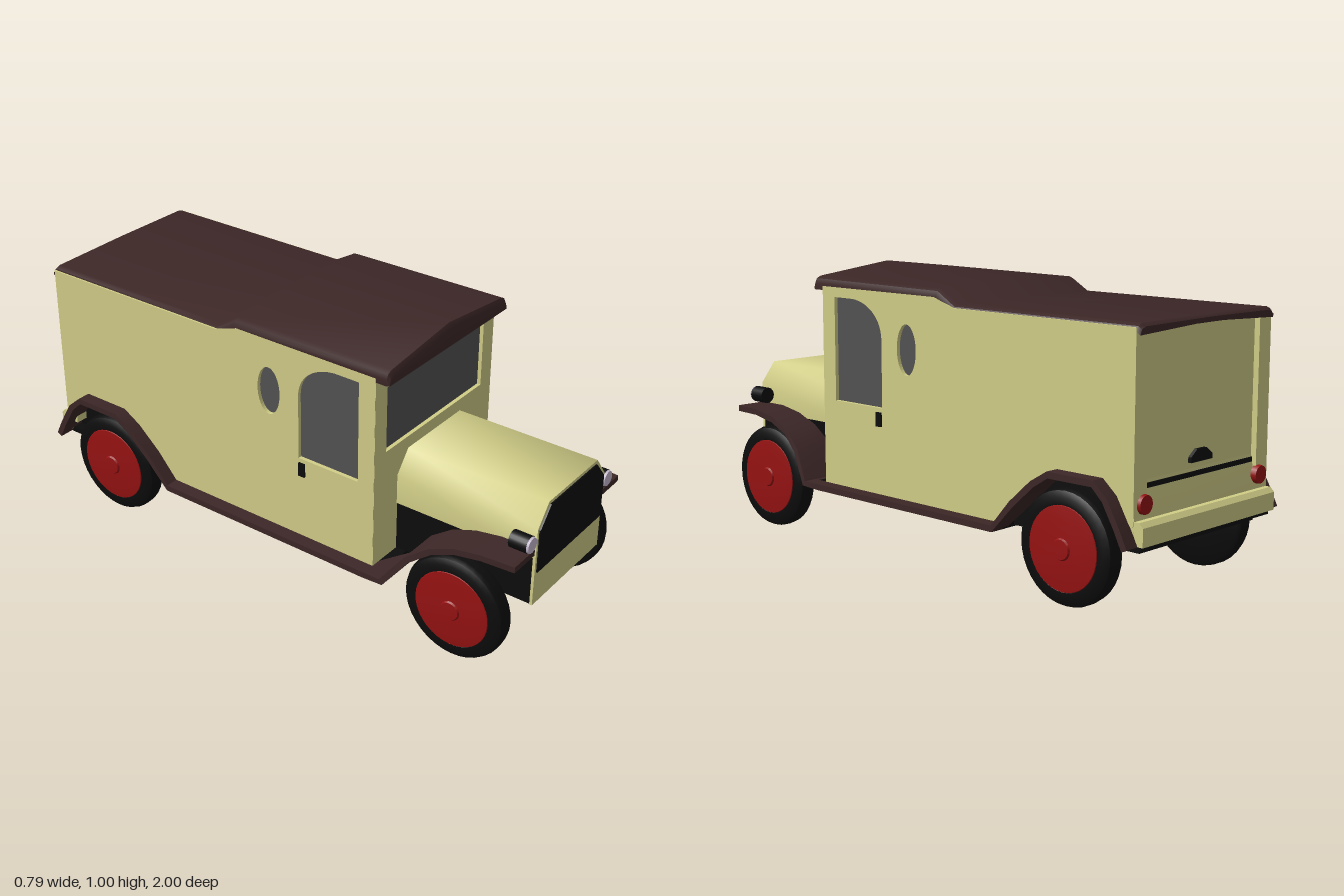
import * as THREE from 'three';
import { toCreasedNormals } from 'three/addons/utils/BufferGeometryUtils.js';

const mat = (name, color) => Object.assign(new THREE.MeshStandardMaterial({ color }), { name });

// Closed solid through equal-length rings of [x, y, z] points, wound outwards.
function loft(rings, crease = 0.6) {
  const n = rings[0].length, tris = [];
  const mid = r => [0, 1, 2].map(k => r.reduce((s, p) => s + p[k], 0) / n);
  for (let i = 0; i < rings.length - 1; i++) {
    for (let j = 0; j < n; j++) {
      const k = (j + 1) % n, a = rings[i], b = rings[i + 1];
      tris.push([a[j], a[k], b[k]], [a[j], b[k], b[j]]);
    }
  }
  const first = rings[0], last = rings[rings.length - 1];
  for (let j = 0; j < n; j++) {
    const k = (j + 1) % n;
    tris.push([first[k], first[j], mid(first)], [last[j], last[k], mid(last)]);
  }
  const volume = tris.reduce((s, [a, b, c]) => s
    + a[0] * (b[1] * c[2] - b[2] * c[1])
    + a[1] * (b[2] * c[0] - b[0] * c[2])
    + a[2] * (b[0] * c[1] - b[1] * c[0]), 0);
  if (volume < 0) tris.forEach(t => t.reverse());
  const g = new THREE.BufferGeometry();
  g.setAttribute('position', new THREE.Float32BufferAttribute(tris.flat(2), 3));
  return toCreasedNormals(g, crease);
}

const polygon = pts => new THREE.Shape(pts.map(p => new THREE.Vector2(...p)));
const extrude = (shape, depth) =>
  new THREE.ExtrudeGeometry(shape, { depth, bevelEnabled: false, curveSegments: 20 });

export function createModel() {
  const group = new THREE.Group();
  const cream = mat('cream paint', 0xd2ce88);
  const maroon = mat('maroon paint', 0x3d2727);
  const black = mat('black', 0x0c0c0c);
  const red = mat('red', 0x961212);
  const glass = mat('dark glass', 0x535353);
  const lens = mat('headlight lens', 0xc9bdd2);

  const add = (name, geometry, material, x = 0, y = 0, z = 0) => {
    const m = new THREE.Mesh(geometry, material);
    m.name = name;
    m.position.set(x, y, z);
    group.add(m);
    return m;
  };
  const box = (name, material, x0, x1, y0, y1, z0, z1) =>
    add(name, new THREE.BoxGeometry(x1 - x0, y1 - y0, z1 - z0), material,
      (x0 + x1) / 2, (y0 + y1) / 2, (z0 + z1) / 2);

  // Window outlines in (z, y)
  const doorWindow = () => {
    const s = new THREE.Shape();
    s.moveTo(0.15, 0.525);
    s.lineTo(0.395, 0.525);
    s.lineTo(0.395, 0.895);
    s.lineTo(0.3, 0.895);
    s.bezierCurveTo(0.22, 0.89, 0.15, 0.84, 0.15, 0.76);
    s.closePath();
    return s;
  };
  const ovalWindow = () => new THREE.Shape().absellipse(0.025, 0.74, 0.047, 0.088, 0, Math.PI * 2);

  // Side walls with wheel arches and recessed windows
  const wall = polygon([[0.459, 0.21], [0.459, 0.93], [-0.11, 0.93], [-0.2, 0.9], [-0.96, 0.9],
    [-0.96, 0.29], [-0.9, 0.37], [-0.845, 0.415], [-0.66, 0.415], [-0.58, 0.375], [-0.52, 0.32], [-0.43, 0.21]]);
  wall.holes.push(doorWindow(), ovalWindow());
  for (const s of [1, -1]) {
    const side = s > 0 ? 'left' : 'right';
    const panel = (name, shape, depth, outer, material) =>
      add(name, extrude(shape, depth).rotateY(-Math.PI / 2), material, s > 0 ? outer : depth - outer);
    panel(side + 'Wall', wall, 0.03, 0.348, cream);
    panel(side + 'DoorGlass', doorWindow(), 0.008, 0.334, glass);
    panel(side + 'OvalGlass', ovalWindow(), 0.008, 0.334, glass);
    add(side + 'DoorHandle', new THREE.BoxGeometry(0.012, 0.05, 0.025), black, s * 0.349, 0.485, 0.165);
  }

  // Front wall and windscreen
  const front = polygon([[-0.347, 0.21], [0.347, 0.21], [0.347, 0.93], [-0.347, 0.93]]);
  const screen = [[-0.283, 0.632], [0.283, 0.632], [0.283, 0.87], [-0.283, 0.87]];
  front.holes.push(polygon(screen));
  add('frontWall', extrude(front, 0.03), cream, 0, 0, 0.43);
  add('windscreen', extrude(polygon(screen), 0.008), glass, 0, 0, 0.438);

  // Rear door, corner posts, sloping sill and bumper
  box('rearDoor', cream, -0.3, 0.3, 0.4, 0.9, -0.945, -0.92);
  for (const s of [1, -1]) {
    add('rearPost', new THREE.BoxGeometry(0.062, 0.6, 0.04), cream, s * 0.317, 0.6, -0.945);
    add('tailLight', new THREE.CylinderGeometry(0.03, 0.033, 0.02, 20).rotateX(-Math.PI / 2), red,
      s * 0.3, 0.362, -0.967);
  }
  const sill = x => [[x, 0.28, -0.92], [x, 0.43, -0.92], [x, 0.43, -0.945], [x, 0.32, -0.966], [x, 0.28, -0.966]];
  add('rearSill', loft([sill(-0.346), sill(0.346)]), cream);
  const bumper = x => [[x, 0.24, -0.955], [x, 0.315, -0.955], [x, 0.315, -0.985], [x, 0.3, -1], [x, 0.24, -1]];
  add('rearBumper', loft([bumper(-0.345), bumper(0.345)]), cream);
  const handle = polygon([[-0.055, 0.45], [0.055, 0.45], [0.055, 0.468], [0.025, 0.49], [-0.025, 0.49], [-0.055, 0.468]]);
  add('rearHandle', extrude(handle, 0.015), black, 0, 0, -0.957);

  // Roof: raised and peaked over the cab, flat over the load bay
  const roofRing = (z, base, edge, peak, w = 0.347) => {
    const half = [[w, base], [w, edge - 0.025], [w - 0.007, edge - 0.008], [w - 0.025, edge]];
    return [...half, [0, peak], ...half.map(([x, y]) => [-x, y]).reverse()].map(([x, y]) => [x, y, z]);
  };
  add('roof', loft([
    roofRing(0.51, 0.917, 0.948, 0.986, 0.343), roofRing(0.5, 0.915, 0.963, 1.0),
    roofRing(-0.12, 0.925, 0.958, 0.975), roofRing(-0.2, 0.889, 0.912, 0.915),
    roofRing(-0.965, 0.889, 0.912, 0.915), roofRing(-0.976, 0.889, 0.902, 0.905, 0.343),
  ], 0.75), maroon);

  // Bonnet, grille and front apron
  const bonnet = z => [[0.215, 0.4], [0.215, 0.51], [0.155, 0.587], [-0.155, 0.587], [-0.215, 0.51], [-0.215, 0.4]]
    .map(([x, y]) => [x, y, z]);
  add('bonnet', loft([bonnet(0.45), bonnet(0.995)], 0.95), cream);
  add('grille', extrude(polygon([[-0.205, 0.345], [0.205, 0.345], [0.205, 0.506], [0.147, 0.575],
    [-0.147, 0.575], [-0.205, 0.506]]), 0.006), black, 0, 0, 0.994);
  box('frontApron', cream, -0.215, 0.215, 0.22, 0.42, 0.985, 0.995);

  // Chassis, floor and axles
  box('engineBay', black, -0.212, 0.212, 0.22, 0.415, 0.45, 0.986);
  box('floor', black, -0.346, 0.346, 0.2, 0.218, -0.43, 0.5);
  box('rearChassis', black, -0.298, 0.298, 0.205, 0.42, -0.95, -0.42);
  box('rearFloorEnd', black, -0.335, 0.335, 0.225, 0.245, -0.985, -0.9);
  box('frontAxle', black, -0.31, 0.31, 0.165, 0.222, 0.76, 0.81);
  box('rearAxle', black, -0.31, 0.31, 0.165, 0.215, -0.735, -0.685);

  // Front wing, running board and rear wing as one strip: [z, y, inner x, outer x]
  const strip = [
    [0.99, 0.435, 0.2, 0.335], [0.87, 0.435, 0.2, 0.344], [0.77, 0.418, 0.2, 0.346], [0.68, 0.382, 0.2, 0.35],
    [0.6, 0.325, 0.2, 0.368], [0.52, 0.218, 0.2, 0.397], [0.45, 0.218, 0.33, 0.397], [-0.42, 0.218, 0.33, 0.397],
    [-0.5, 0.31, 0.295, 0.397], [-0.59, 0.39, 0.295, 0.397], [-0.66, 0.432, 0.295, 0.397],
    [-0.845, 0.432, 0.295, 0.397], [-0.9, 0.385, 0.295, 0.397], [-0.95, 0.3, 0.295, 0.397], [-0.98, 0.24, 0.295, 0.397],
  ];
  const thickness = 0.022;
  for (const s of [1, -1]) {
    const rings = strip.map(([z, y, a, b], i) => {
      const p = strip[Math.max(i - 1, 0)], q = strip[Math.min(i + 1, strip.length - 1)];
      const dz = q[0] - p[0], dy = q[1] - p[1], l = Math.hypot(dz, dy);
      const y2 = y + dz / l * thickness, z2 = z - dy / l * thickness;
      return [[s * a, y, z], [s * b, y, z], [s * b, y2, z2], [s * a, y2, z2]];
    });
    add(s > 0 ? 'leftWing' : 'rightWing', loft(rings), maroon);
  }

  // Headlights
  for (const s of [1, -1]) {
    add('headlight', new THREE.CylinderGeometry(0.03, 0.03, 0.065, 20).rotateX(Math.PI / 2), black,
      s * 0.245, 0.47, 0.957);
    add('headlightLens', new THREE.CylinderGeometry(0.027, 0.029, 0.008, 20).rotateX(Math.PI / 2), lens,
      s * 0.245, 0.47, 0.993);
  }

  // Wheels: rounded tyre with a domed red disc
  const lathe = pts => toCreasedNormals(
    new THREE.LatheGeometry(pts.map(p => new THREE.Vector2(...p)), 36), 0.7);
  const h = 0.035;
  const tyre = lathe([[0, -h], [0.175, -h], [0.187, -h + 0.008], [0.19, -0.01], [0.19, 0.01],
    [0.184, h - 0.01], [0.165, h], [0.14, h], [0.135, h - 0.006]]);
  const disc = lathe([[0.142, h - 0.006], [0.138, h + 0.002], [0.1, h + 0.006], [0.036, h + 0.007],
    [0.032, h + 0.013], [0, h + 0.014]]);
  for (const s of [1, -1]) {
    for (const [end, x, z] of [['front', 0.322, 0.78], ['rear', 0.341, -0.71]]) {
      for (const [part, g, m] of [['Tyre', tyre, black], ['WheelDisc', disc, red]]) {
        add(end + part, g, m, s * x, 0.19, z).rotation.z = -s * Math.PI / 2;
      }
    }
  }
  return group;
}
